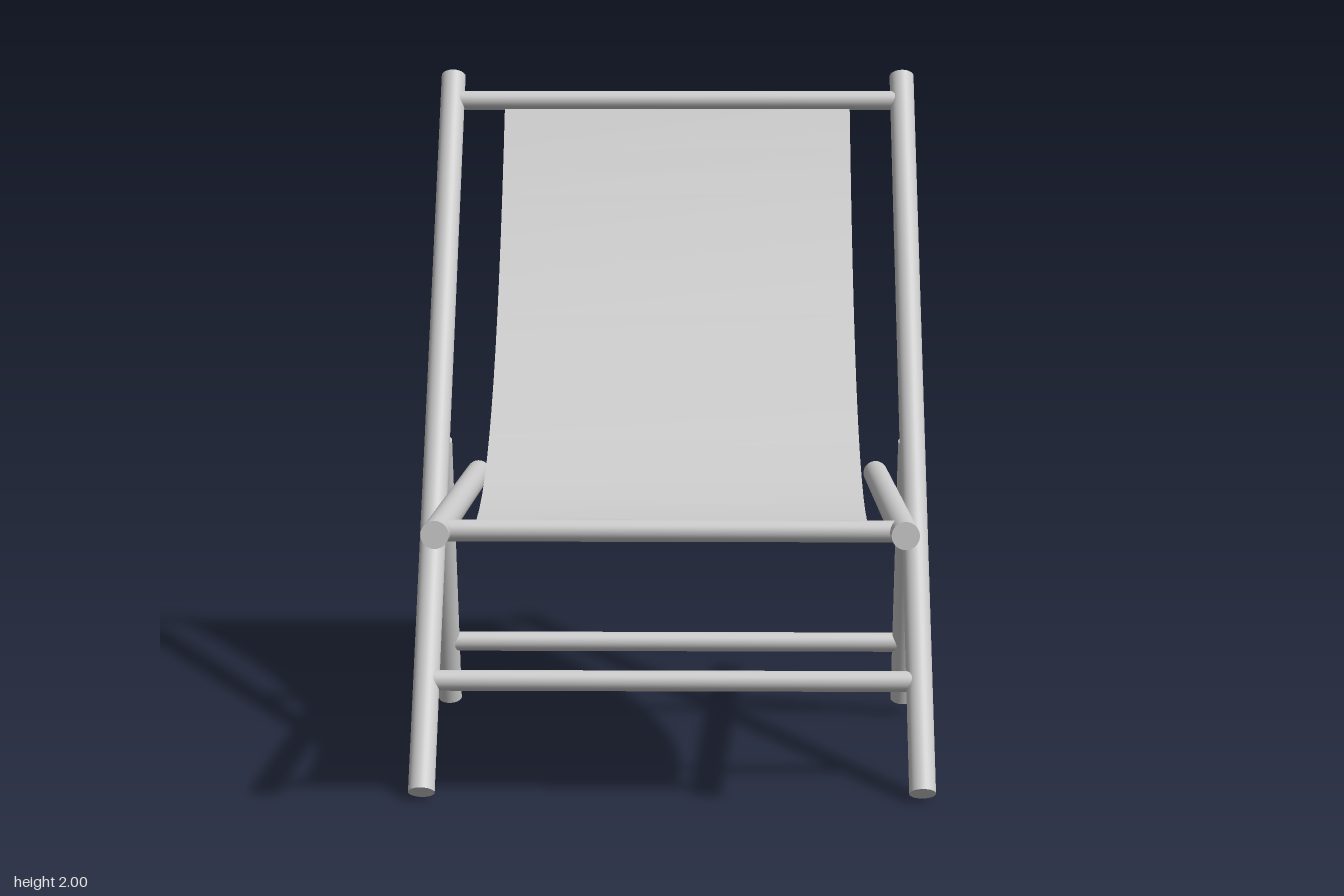
import * as THREE from 'three';

const grey = new THREE.MeshStandardMaterial({ color: 0xcccccc });
const cloth = new THREE.MeshStandardMaterial({ color: 0xcccccc, side: THREE.DoubleSide });

// Round pole running from point a to point b
function pole(name, a, b, radius) {
  const start = new THREE.Vector3(...a);
  const dir = new THREE.Vector3(...b).sub(start);
  const mesh = new THREE.Mesh(new THREE.CylinderGeometry(radius, radius, dir.length(), 32), grey);
  mesh.position.copy(start).addScaledVector(dir, 0.5);
  mesh.quaternion.setFromUnitVectors(new THREE.Vector3(0, 1, 0), dir.normalize());
  mesh.name = name;
  return mesh;
}

// Sling: a sheet whose rows follow a sagging curve between the two bars
function sling(halfWidth, top, sag, front) {
  const curve = new THREE.QuadraticBezierCurve3(
    new THREE.Vector3(0, ...top), new THREE.Vector3(0, ...sag), new THREE.Vector3(0, ...front));
  const rows = 16;
  const geo = new THREE.PlaneGeometry(halfWidth * 2, 1, 1, rows);
  const pos = geo.attributes.position;
  for (let i = 0; i < pos.count; i++) {
    const p = curve.getPoint(0.5 - pos.getY(i));
    pos.setXYZ(i, pos.getX(i), p.y, p.z);
  }
  geo.computeVertexNormals();
  const mesh = new THREE.Mesh(geo, cloth);
  mesh.name = 'fabricSling';
  return mesh;
}

export function createModel() {
  const chair = new THREE.Group();
  chair.name = 'deckChair';

  // Mirrored side poles
  for (const [side, s] of [['left', 1], ['right', -1]]) {
    chair.add(
      pole(side + 'BackRail', [s * 0.71, 0.022, 0.537], [s * 0.71, 1.978, -0.878], 0.038),
      pole(side + 'SeatRail', [s * 0.632, 0.834, 0.91], [s * 0.632, 0.728, -0.735], 0.038),
      pole(side + 'PropLeg', [s * 0.71, 0.05, -0.498], [s * 0.71, 0.911, -0.225], 0.036),
    );
  }

  // Crossbars: name, half length, height, depth
  for (const [name, half, y, z] of [
    ['topBar', 0.69, 1.904, -0.825],
    ['seatFrontBar', 0.615, 0.827, 0.805],
    ['lowerFrontBar', 0.69, 0.3, 0.337],
    ['lowerBackBar', 0.69, 0.243, -0.44],
  ]) chair.add(pole(name, [-half, y, z], [half, y, z], 0.03));

  // Fabric hung between the top bar and the seat front bar
  chair.add(sling(0.544, [1.904, -0.825], [0.69, -0.15], [0.827, 0.805]));

  return chair;
}
